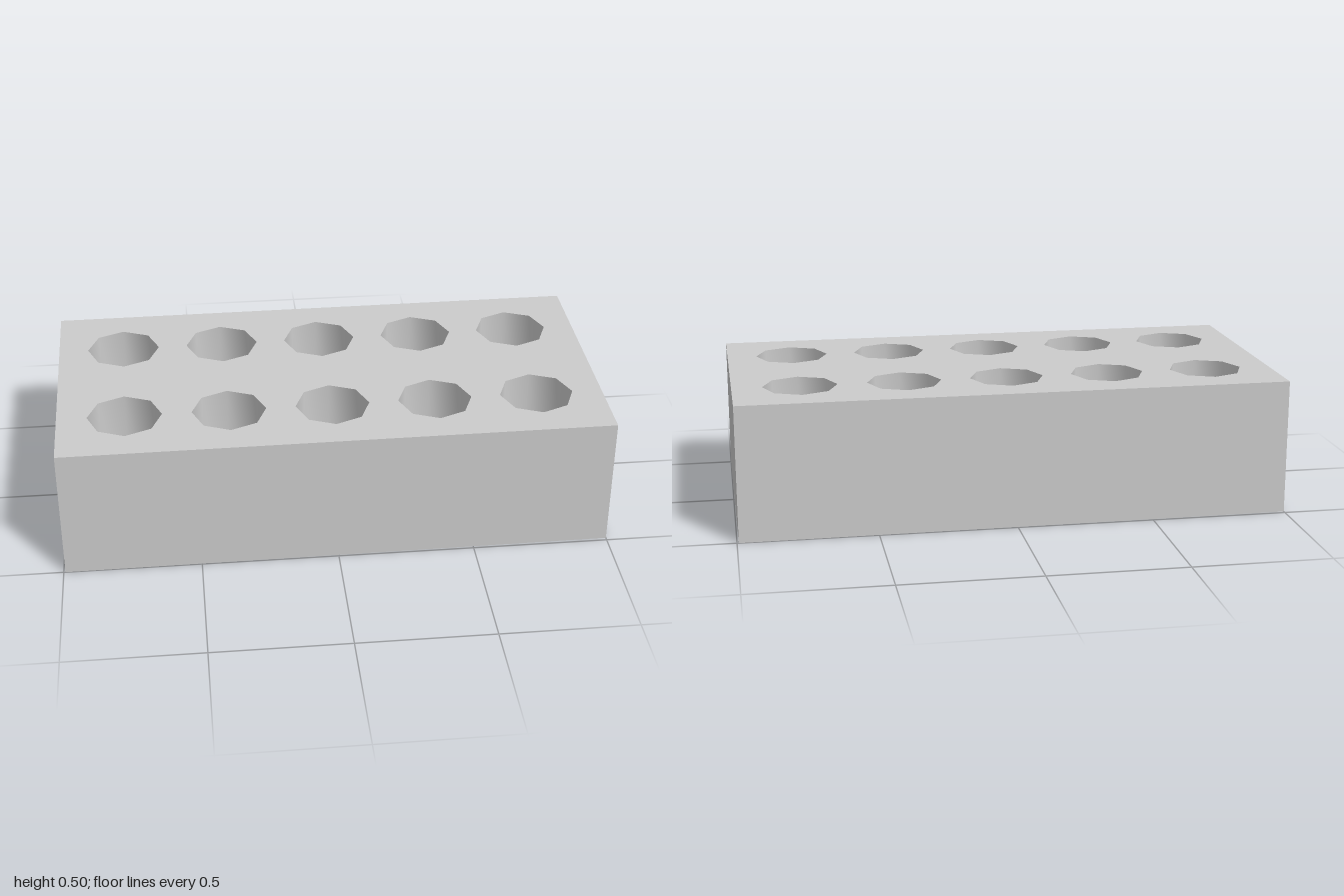
import * as THREE from 'three';
import { toCreasedNormals } from 'three/addons/utils/BufferGeometryUtils.js';

const WIDTH = 1.994, DEPTH = 0.987, HEIGHT = 0.495;
const HOLE_RADIUS = 0.135, HOLE_SIDES = 8;
const COLUMN_STEP = 0.3765, ROW_OFFSET = 0.244;

// Octagonal outline with a corner pointing along each axis
function holePath(cx, cy) {
  const points = [];
  for (let i = 0; i < HOLE_SIDES; i++) {
    const a = -(i / HOLE_SIDES) * Math.PI * 2;
    points.push(new THREE.Vector2(cx + HOLE_RADIUS * Math.cos(a), cy + HOLE_RADIUS * Math.sin(a)));
  }
  return new THREE.Path(points);
}

export function createModel() {
  const group = new THREE.Group();
  group.name = 'brick';

  // Rectangular block outline
  const w = WIDTH / 2, d = DEPTH / 2;
  const outline = new THREE.Shape([
    new THREE.Vector2(-w, -d), new THREE.Vector2(w, -d),
    new THREE.Vector2(w, d), new THREE.Vector2(-w, d),
  ]);

  // Two rows of five through holes
  for (const row of [-1, 1]) {
    for (let column = -2; column <= 2; column++) {
      outline.holes.push(holePath(column * COLUMN_STEP, row * ROW_OFFSET));
    }
  }

  // Extrude upward; hole walls shade smoothly, block edges stay sharp
  const extruded = new THREE.ExtrudeGeometry(outline, { depth: HEIGHT, bevelEnabled: false });
  extruded.rotateX(-Math.PI / 2);
  const body = new THREE.Mesh(
    toCreasedNormals(extruded, THREE.MathUtils.degToRad(50)),
    new THREE.MeshStandardMaterial({ color: 0xcccccc }),
  );
  body.name = 'perforatedBlock';
  body.rotation.y = 0.0065; // the block sits very slightly turned
  group.add(body);

  return group;
}
